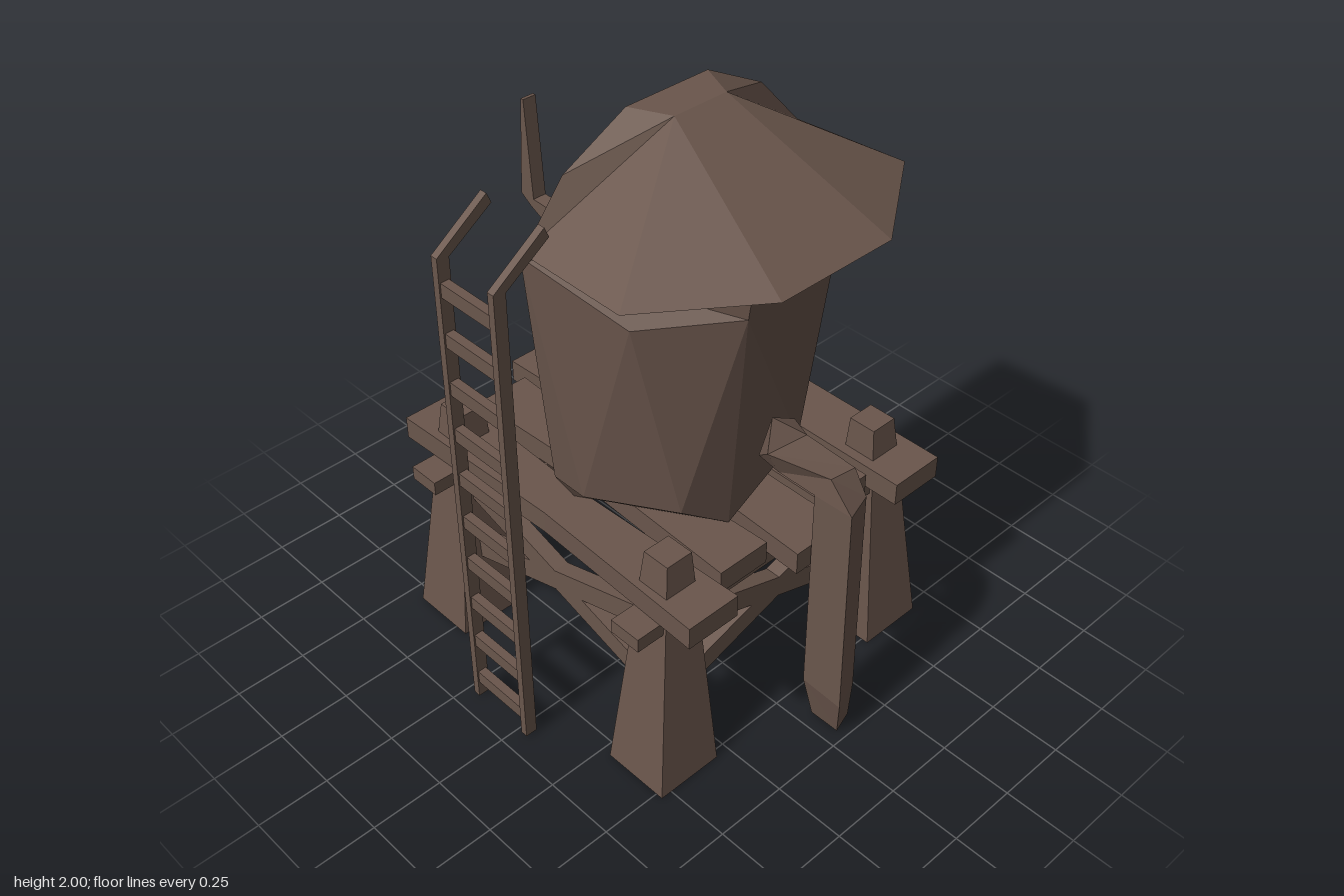
import * as THREE from 'three';

export function createModel() {
  const model = new THREE.Group();
  const wood = new THREE.MeshStandardMaterial({ color: 0x6a564c, side: THREE.DoubleSide });
  wood.name = 'dark wood';

  const add = (name, geometry) => {
    const mesh = new THREE.Mesh(geometry, wood);
    mesh.name = name;
    model.add(mesh);
    return mesh;
  };

  // Flat faces from named corner points, each face fanned into triangles
  const faceted = (points, faces) => {
    const out = [];
    for (const face of faces) {
      const f = Array.isArray(face) ? face : face.split(' ');
      for (let i = 1; i < f.length - 1; i++) out.push(...points[f[0]], ...points[f[i]], ...points[f[i + 1]]);
    }
    const g = new THREE.BufferGeometry();
    g.setAttribute('position', new THREE.Float32BufferAttribute(out, 3));
    g.computeVertexNormals();
    return g;
  };

  const extrude = (pts, depth) => new THREE.ExtrudeGeometry(
    new THREE.Shape(pts.map(p => new THREE.Vector2(...p))), { depth, bevelEnabled: false });

  // Skin between cross-sections of equal point count, closed at both ends
  const loft = (rings) => {
    const n = rings[0].length, pts = rings.flat(), faces = [];
    for (let r = 0; r < rings.length - 1; r++)
      for (let i = 0; i < n; i++) {
        const a = r * n + i, b = r * n + (i + 1) % n;
        faces.push([a, b, b + n, a + n]);
      }
    const first = [...Array(n).keys()];
    faces.push([...first].reverse(), first.map(i => i + (rings.length - 1) * n));
    return faceted(pts, faces);
  };

  const square = (x, y, z, h) => [[x - h, y, z + h], [x + h, y, z + h], [x + h, y, z - h], [x - h, y, z - h]];

  // Tapered legs that pass through the deck
  for (const [bx, tx] of [[-0.57, -0.563], [0.405, 0.39]])
    for (const [bz, tz] of [[0.42, 0.385], [-0.54, -0.51]])
      add('leg', loft([square(bx, 0, bz, 0.12), square(tx, 0.85, tz, 0.049)]));

  // Beams under the deck
  for (const x of [-0.56, 0.395])
    add('crossBeam', new THREE.BoxGeometry(0.115, 0.05, 1.255)).position.set(x, 0.635, -0.063);

  // Deck planks, pinched in the middle: [x0, x1, z0, z1, pinch at z0, pinch at z1]
  for (const [x0, x1, z0, z1, p0, p1] of [
    [-0.75, 0.58, -0.62, -0.42, 0, 0],
    [-0.65, 0.48, -0.39, -0.195, 0, 0],
    [-0.75, 0.58, -0.17, 0.033, 0, 0.028],
    [-0.65, 0.48, 0.06, 0.255, 0.025, 0.025],
    [-0.75, 0.58, 0.285, 0.482, 0.025, 0.025]]) {
    const m = (x0 + x1) / 2;
    const g = extrude([[x0, z0], [m, z0 + p0], [x1, z0], [x1, z1], [m, z1 - p1], [x0, z1]], 0.08);
    add('plank', g.rotateX(Math.PI / 2)).position.y = 0.74;
  }

  // Crossed braces on all four sides
  const brace = (a, b) => {
    const p = new THREE.Vector3(...a), q = new THREE.Vector3(...b);
    const mesh = add('brace', new THREE.BoxGeometry(0.055, 0.075, p.distanceTo(q)));
    mesh.position.copy(p).add(q).multiplyScalar(0.5);
    mesh.lookAt(q);
  };
  for (const [y0, y1] of [[0.57, 0.3], [0.3, 0.57]]) {
    for (const z of [0.4, -0.525]) brace([-0.52, y0, z], [0.35, y1, z]);
    for (const x of [-0.567, 0.398]) brace([x, y0, 0.35], [x, y1, -0.48]);
  }

  // Half tank, open on the right-hand cut
  add('tank', faceted({
    A: [-0.08, 1.69, 0.49], B: [0.235, 1.55, 0.38], C: [0.42, 1.55, 0.11], D: [0.44, 1.69, 0.11],
    E: [0.42, 1.55, -0.225], F: [0.235, 1.55, -0.51], G: [-0.08, 1.69, -0.6],
    a: [-0.08, 0.86, 0.41], b: [0.05, 0.86, 0.41], c: [0.305, 0.86, 0.25], e: [0.3, 0.86, -0.26],
    f: [0.1, 0.74, -0.415], g: [-0.08, 0.86, -0.53],
    p: [-0.08, 0.74, 0.34], q: [0.337, 0.74, 0.08], r: [-0.08, 0.74, -0.47]
  }, ['A a b B', 'B b c C', 'C c q', 'C q e E', 'E e f F', 'F f g G', 'a p q b', 'b q c',
    'q f e', 'f r g', 'A B C', 'A C D', 'C E D', 'D E F G']));

  // Half roof with a flat top
  add('roof', faceted({
    a: [-0.08, 2, 0.095], b: [0.05, 2, 0.035], c: [0.05, 2, -0.165], d: [-0.08, 2, -0.22],
    m: [-0.08, 1.88, 0.33], n: [-0.08, 1.88, -0.445],
    P: [-0.08, 1.695, 0.48], Q: [0.33, 1.71, 0.5], R: [0.58, 1.71, 0.155],
    S: [0.58, 1.71, -0.28], T: [0.33, 1.71, -0.63], U: [-0.08, 1.695, -0.61]
  }, ['a b c d', 'b a m', 'b m P Q', 'b Q R', 'b R S c', 'c S T', 'c T U n', 'c n d']));

  // Three-sided drain pipe bending down to the ground
  add('pipe', loft([
    [[0.35, 0.95, -0.03], [0.37, 1.09, -0.06], [0.37, 1.03, -0.16]],
    [[0.44, 0.945, -0.02], [0.43, 1.03, 0.02], [0.44, 1.02, -0.14]],
    [[0.585, 0.945, -0.02], [0.635, 1.03, -0.03], [0.64, 1.02, -0.13]],
    [[0.585, 0.93, -0.02], [0.73, 0.95, -0.02], [0.69, 0.94, -0.13]],
    [[0.59, 0.17, -0.02], [0.745, 0.16, -0.02], [0.7, 0.15, -0.135]],
    [[0.605, 0, -0.055], [0.715, 0, -0.055], [0.69, 0, -0.135]]]));

  // Ladder rails with hooked tops, and rungs
  for (const x of [-0.19, 0.05]) {
    const g = extrude([[0.645, 0.01], [0.687, 0.01], [0.687, 1.72], [0.505, 1.85], [0.49, 1.815], [0.645, 1.71]], 0.025);
    add('ladderRail', g.rotateY(-Math.PI / 2)).position.x = x;
  }
  for (let i = 0; i < 10; i++)
    add('rung', new THREE.BoxGeometry(0.235, 0.048, 0.03)).position.set(-0.08, 0.095 + i * 0.169, 0.667);

  // Loose bracket hanging beside the tank
  add('bracket', extrude([[-0.735, 1.385], [-0.69, 1.355], [-0.61, 1.315], [-0.572, 1.35], [-0.572, 1.38],
    [-0.675, 1.385], [-0.7, 1.73], [-0.712, 1.73]], 0.05)).position.z = -0.09;

  return model;
}
